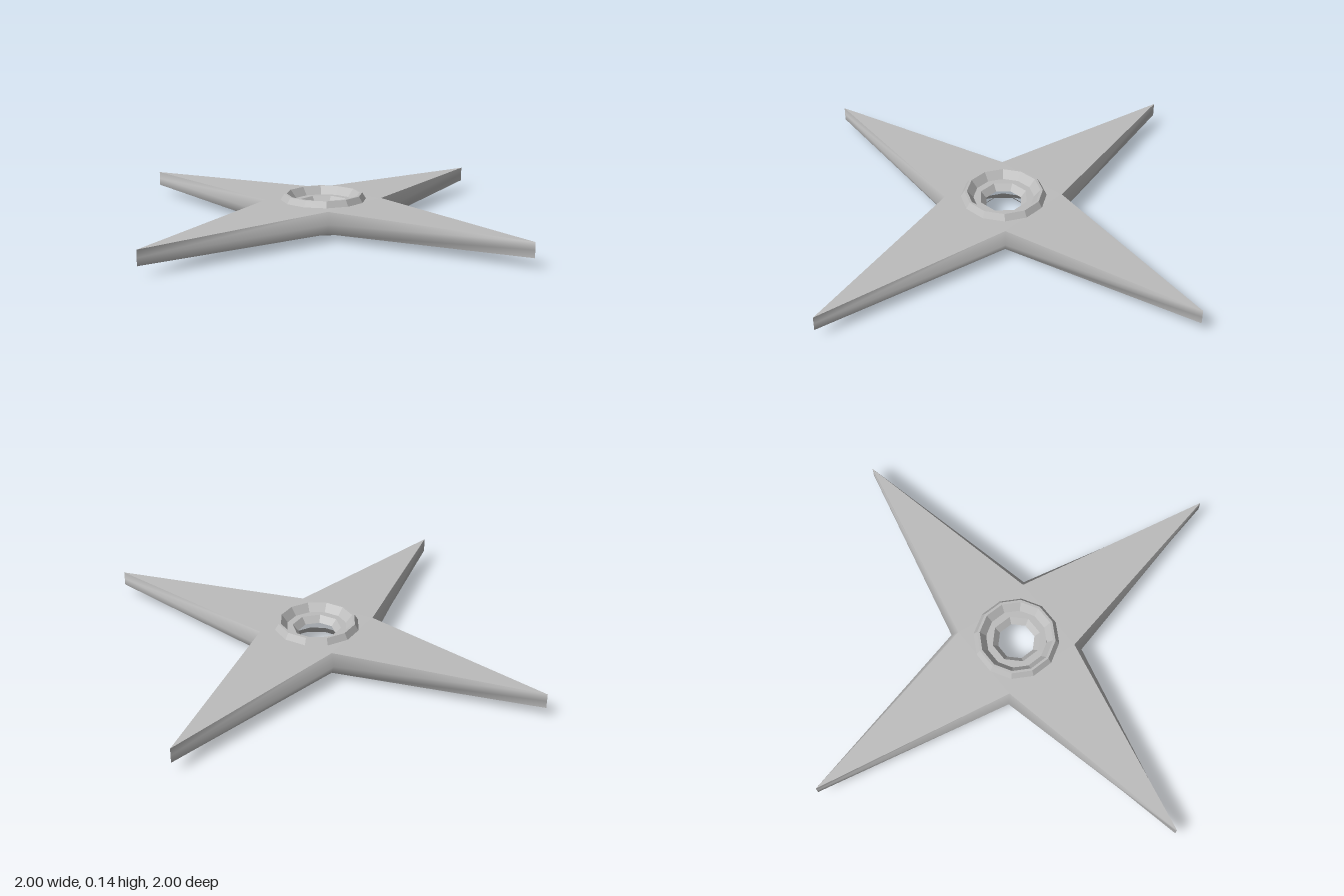
import * as THREE from 'three';
import { mergeVertices } from 'three/addons/utils/BufferGeometryUtils.js';

const MID = 0.07;      // height of the central plane
const NOTCH = 0.19;    // inner corner of the edge ridge
const FACE = 0.168;    // inner corner of the flat faces
const FACE_H = 0.045;  // half thickness at the centre
const TIP_H = 0.03;    // half thickness at the tips

function fromTriangles(points, tris) {
  const g = new THREE.BufferGeometry();
  g.setAttribute('position', new THREE.Float32BufferAttribute(points.flat(), 3));
  g.setIndex(tris.flat());
  return g;
}

function flat(geometry) {
  const g = geometry.toNonIndexed();
  g.computeVertexNormals();
  return g;
}

// Faceted ring turned from a closed half profile mirrored about the central plane
function ring(half, sides) {
  const pts = [
    ...half.map(([r, h]) => [r, -h]).reverse(),
    ...half,
  ].map(([r, h]) => new THREE.Vector2(r, h));
  const g = new THREE.LatheGeometry(pts, sides, Math.PI / sides);
  return flat(g);
}

export function createModel() {
  const steel = new THREE.MeshStandardMaterial({ color: 0xbcbcbc });
  steel.name = 'steel';
  const model = new THREE.Group();
  model.name = 'throwingStar';
  const star = new THREE.Group();
  star.name = 'star';
  star.position.y = MID;
  model.add(star);

  const add = (parent, name, geometry) => {
    const mesh = new THREE.Mesh(geometry, steel);
    mesh.name = name;
    parent.add(mesh);
    return mesh;
  };

  // Flat centre plate with a round opening for the hub
  const square = new THREE.Shape([
    new THREE.Vector2(-FACE, -FACE), new THREE.Vector2(FACE, -FACE),
    new THREE.Vector2(FACE, FACE), new THREE.Vector2(-FACE, FACE),
  ]);
  const opening = new THREE.Path();
  opening.absarc(0, 0, 0.15, 0, Math.PI * 2, true);
  square.holes.push(opening);
  const centre = new THREE.ShapeGeometry(square, 12);
  centre.rotateX(-Math.PI / 2);
  centre.translate(0, FACE_H, 0);

  // One blade face, falling gently to its tip at +x
  const blade = flat(fromTriangles(
    [[FACE, FACE_H, -FACE], [FACE, FACE_H, FACE], [1, TIP_H, 0]], [[0, 1, 2]]));

  // Upper and lower sides are the same, turned over
  for (const side of ['upper', 'lower']) {
    const faces = new THREE.Group();
    faces.name = side + 'Faces';
    if (side === 'lower') faces.rotation.x = Math.PI;
    add(faces, 'centrePlate', centre);
    for (let i = 0; i < 4; i++) {
      add(faces, 'bladeFace', blade).rotation.y = i * Math.PI / 2;
    }
    star.add(faces);
  }

  // Smooth bevelled edge running from tip to notch to tip
  const points = [];
  for (const s of [-1, 0, 1]) {
    const n = s === 0 ? NOTCH : FACE;
    points.push([0, s * TIP_H, 1], [n, s * FACE_H, n], [1, s * TIP_H, 0]);
  }
  const tris = [];
  for (let row = 0; row < 2; row++) {
    for (let col = 0; col < 2; col++) {
      const a = row * 3 + col;
      tris.push([a, a + 1, a + 4], [a, a + 4, a + 3]);
    }
  }
  const edge = mergeVertices(fromTriangles(points, tris));
  edge.computeVertexNormals();
  for (let i = 0; i < 4; i++) {
    add(star, 'cuttingEdge', edge).rotation.y = i * Math.PI / 2;
  }

  // Hub: raised outer rim and a stepped inner ring around the hole
  add(star, 'hubRim', ring([[0.18, 0.038], [0.16, 0.07], [0.15, 0.07], [0.122, 0.035]], 12));
  add(star, 'hubInnerRing', ring([[0.135, 0.03], [0.132, 0.038], [0.1, 0.038], [0.077, 0.012]], 8));

  return model;
}
